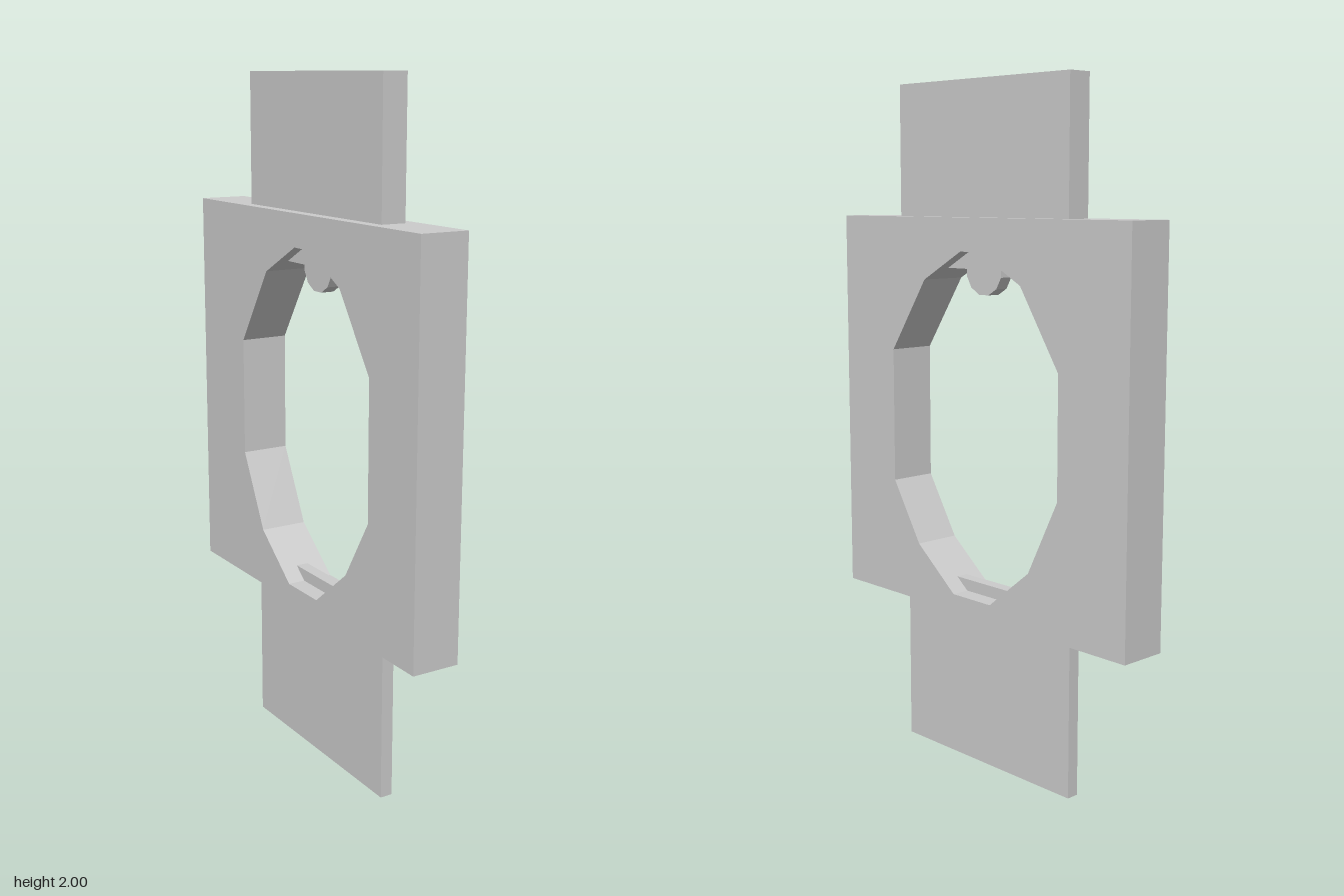
import * as THREE from 'three';

export function createModel() {
  const model = new THREE.Group();
  const material = new THREE.MeshStandardMaterial({ color: 0xcccccc, flatShading: true });

  function add(name, geometry, x = 0, y = 0, z = 0) {
    const mesh = new THREE.Mesh(geometry, material);
    mesh.name = name;
    mesh.position.set(x, y, z);
    model.add(mesh);
    return mesh;
  }

  // Square plate with a faceted oval opening; outlines are [z, y] pairs
  const toPoints = (list) => list.map(([z, y]) => new THREE.Vector2(-z, y));
  const plate = new THREE.Shape(toPoints([
    [0.58, 0.47], [-0.575, 0.47], [-0.575, 1.62], [0.58, 1.62],
  ]));
  plate.holes.push(new THREE.Path(toPoints([
    [0.06, 1.525], [-0.02, 1.525], [-0.18, 1.44], [-0.325, 1.215],
    [-0.325, 0.865], [-0.215, 0.645], [-0.06, 0.52], [0.095, 0.52],
    [0.25, 0.645], [0.36, 0.825], [0.36, 1.225], [0.215, 1.44],
  ])));
  const plateGeometry = new THREE.ExtrudeGeometry(plate, { depth: 0.144, bevelEnabled: false });
  plateGeometry.rotateY(Math.PI / 2);
  add('framePlate', plateGeometry, -0.073);

  // Tabs pass through the plate and peek into the opening
  function addTab(name, thickness, bottom, top) {
    add(name, new THREE.BoxGeometry(thickness, top - bottom, 0.685), -0.002, (bottom + top) / 2, 0.0175);
  }
  addTab('upperTab', 0.074, 1.475, 2);
  addTab('lowerTab', 0.037, 0, 0.555);

  // Small disc hanging under the upper tab
  const disc = new THREE.CylinderGeometry(0.073, 0.073, 0.04, 12);
  disc.rotateY(Math.PI / 12);
  disc.rotateZ(Math.PI / 2);
  add('hangingDisc', disc, -0.002, 1.473, 0.02);

  return model;
}
